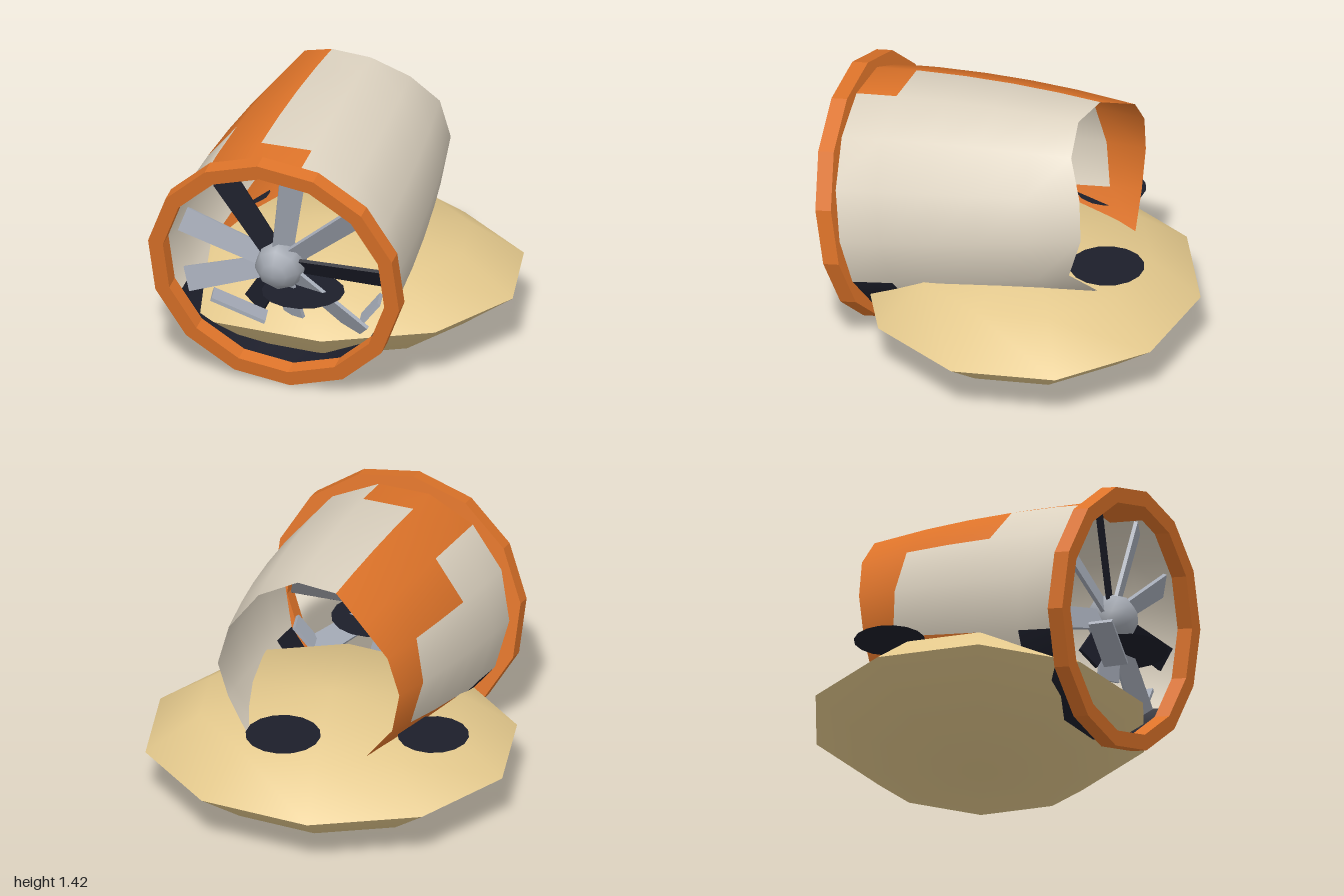
import * as THREE from 'three';
import { toCreasedNormals } from 'three/addons/utils/BufferGeometryUtils.js';

const SIDES = 14, STEP = (Math.PI * 2) / SIDES;

function material(name, color, double = false) {
  const m = new THREE.MeshStandardMaterial({ color });
  m.name = name;
  if (double) m.side = THREE.DoubleSide;
  return m;
}

function add(parent, name, geometry, mat) {
  const mesh = new THREE.Mesh(geometry, mat);
  mesh.name = name;
  parent.add(mesh);
  return mesh;
}

// Tapering open shell with a torn rear edge; colours assigned per panel
function casingGeometry() {
  const tear = [1.375, 1.345, 1.37, 1.44, 1.43, 1.31, 1.38, 1.36, 1.34, 1.33, 1.34, 1.385, 1.44, 1.475];
  const rows = [0.02, 0.32, 0.6, 0.87, 1.14, null];
  const pos = [];
  rows.forEach((row) => {
    for (let k = 0; k < SIDES; k++) {
      const t = row ?? tear[k];
      const a = Math.PI / 2 + STEP / 2 - k * STEP;
      const r = 0.64 - 0.068 * t * t;
      pos.push(r * Math.cos(a), r * Math.sin(a), -t);
    }
  });
  // 0 = cream, 1 = orange, 2 = charred
  const colourOf = (k, row) => {
    if (k === 13 || (k === 0 && row === 0)) return 1;
    if (k === 12 && row >= 2) return 1;
    if ((k === 10 || k === 11) && row === 4) return 1;
    if ((k === 8 || k === 9) && row >= 2) return 1;
    if (k >= 5 && k <= 9 && row === 0) return 2;
    return 0;
  };
  const faces = [[], [], []];
  for (let row = 0; row < rows.length - 1; row++) {
    for (let k = 0; k < SIDES; k++) {
      const n = (k + 1) % SIDES;
      const a = row * SIDES + k, b = row * SIDES + n;
      const c = a + SIDES, d = b + SIDES;
      faces[colourOf(k, row)].push(a, b, c, b, d, c);
    }
  }
  const g = new THREE.BufferGeometry();
  g.setAttribute('position', new THREE.Float32BufferAttribute(pos, 3));
  g.setIndex(faces.flat());
  let start = 0;
  faces.forEach((f, i) => {
    g.addGroup(start, f.length, i);
    start += f.length;
  });
  g.computeVertexNormals();
  return g;
}

// Square-section intake lip
function lipGeometry() {
  const profile = [[0.703, -0.09], [0.703, 0], [0.62, 0], [0.62, -0.09], [0.703, -0.09]]
    .map(([r, h]) => new THREE.Vector2(r, h));
  const g = new THREE.LatheGeometry(profile, SIDES).rotateX(Math.PI / 2).rotateZ(0.07).toNonIndexed();
  g.computeVertexNormals();
  return g;
}

// Flat blade that widens slightly towards its tip
function bladeGeometry(angle, length) {
  const g = new THREE.BoxGeometry(length, 0.135, 0.02).translate(0.07 + length / 2, 0, 0);
  const p = g.attributes.position;
  for (let i = 0; i < p.count; i++) {
    if (p.getX(i) < 0.1) p.setY(i, p.getY(i) * 0.82);
  }
  return g.rotateX(0.4).rotateZ(angle);
}

export function createModel() {
  const sand = material('sand', 0xe3c88c);
  const cream = material('cream casing', 0xdcd2c0, true);
  const orange = material('orange paint', 0xdd7329, true);
  const charred = material('charred black', 0x1c1e2a, true);
  const steel = material('blade grey', 0xa4aab6);
  const hubGrey = material('hub grey', 0xa3a8b1);

  const model = new THREE.Group();
  model.name = 'crashedEngine';

  // Lens-shaped mound of ground
  const mound = new THREE.SphereGeometry(1, 10, 4).rotateY(Math.PI / 10);
  mound.scale(1, 0.29, 0.9);
  mound.translate(0, 0.325, -0.1);
  add(model, 'sandMound', toCreasedNormals(mound, 1.0), sand);

  // Scorch marks hovering just over the mound
  [[0.195, -0.53, 0.2], [-0.59, -0.42, 0.19], [-0.1, 0.74, 0.22]].forEach(([x, z, r], i) => {
    const spot = add(model, 'scorchMark' + (i + 1), new THREE.CircleGeometry(r, 16).rotateX(-Math.PI / 2), charred);
    spot.position.set(x, 0.59, z);
  });

  // Engine, nose down and turned aside
  const engine = new THREE.Group();
  engine.name = 'engine';
  engine.position.set(-0.25, 0.703, 0.81);
  engine.rotation.set(THREE.MathUtils.degToRad(10), THREE.MathUtils.degToRad(-13), 0, 'YXZ');
  model.add(engine);

  add(engine, 'casing', casingGeometry(), [cream, orange, charred]);
  add(engine, 'intakeLip', lipGeometry(), orange);

  // Fan with every third blade burnt; the two blades in the ground are snapped
  const fan = new THREE.Group();
  fan.name = 'fan';
  fan.position.z = -0.12;
  engine.add(fan);
  const hub = new THREE.SphereGeometry(0.14, 8, 6).rotateX(Math.PI / 2);
  add(fan, 'hub', hub, hubGrey);
  for (let i = 0; i < 9; i++) {
    const length = i === 6 || i === 7 ? 0.26 : 0.5;
    add(fan, 'blade' + (i + 1), bladeGeometry((i * Math.PI * 2) / 9, length), i % 3 ? steel : charred);
  }

  // Broken blade pieces lying on the mound
  [[-0.44, 0.485, 0.74, 0.31, -0.4], [0.255, 0.48, 0.7, 0.16, 0.9]].forEach(([x, y, z, length, tilt], i) => {
    const piece = add(model, 'brokenBlade' + (i + 1), new THREE.BoxGeometry(length, 0.02, 0.13), steel);
    piece.position.set(x, y, z);
    piece.rotation.z = tilt;
  });

  return model;
}
